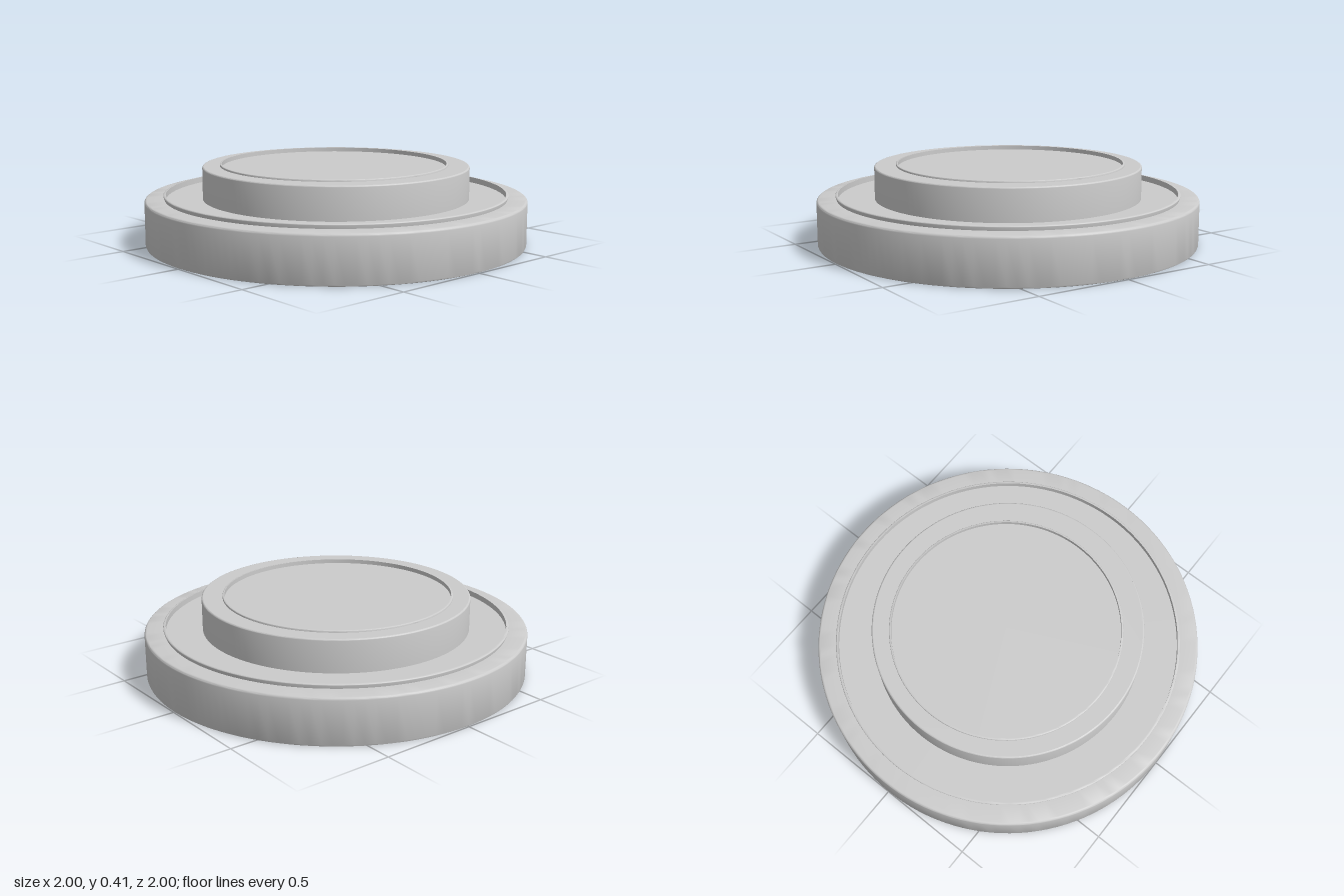
import * as THREE from 'three';
import { toCreasedNormals } from 'three/addons/utils/BufferGeometryUtils.js';

const material = new THREE.MeshStandardMaterial({ color: 0xcccccc, side: THREE.DoubleSide });

// Turned part from [radius, height] pairs, running up the outside
function turned(name, profile, x = 0) {
  const points = profile.map(([r, y]) => new THREE.Vector2(r, y));
  const geometry = toCreasedNormals(new THREE.LatheGeometry(points, 128), 0.6);
  const mesh = new THREE.Mesh(geometry, material);
  mesh.name = name;
  mesh.position.x = x;
  return mesh;
}

// Quarter-round outer top edge
function roundEdge(r, y, radius, steps = 4) {
  return Array.from({ length: steps + 1 }, (_, i) => {
    const a = (i / steps) * Math.PI / 2;
    return [r - radius + radius * Math.cos(a), y - radius + radius * Math.sin(a)];
  });
}

export function createModel() {
  const group = new THREE.Group();
  group.name = 'steppedRoundCap';

  // Wide outer shell, hollow underneath
  group.add(turned('outerShell', [
    [0.99, 0], [0.997, 0.003], [1, 0.01],
    ...roundEdge(1, 0.242, 0.014), [0.895, 0.242],
  ]));

  // Inner sleeve: its top stands proud as a thin lip, its skirt hangs below
  group.add(turned('innerSleeve', [
    [0.89, 0.235], [0.89, 0.04], [0.897, 0.04], [0.897, 0.242],
    ...roundEdge(0.903, 0.265, 0.006), [0.89, 0.265], [0.89, 0.235],
  ]));

  // Flat plate closing the sleeve
  group.add(turned('plate', [[0.89, 0.235], [0, 0.235]]));

  // Raised drum with a shallow, slightly offset recess
  const shift = -0.015;
  group.add(turned('drumWall', [[0.7, 0.235], ...roundEdge(0.7, 0.405, 0.008)]));
  const rim = new THREE.Shape().absarc(0, 0, 0.692, 0, Math.PI * 2);
  rim.holes.push(new THREE.Path().absarc(shift, 0, 0.598, 0, Math.PI * 2, true));
  const drumTop = new THREE.Mesh(new THREE.ShapeGeometry(rim, 96).rotateX(-Math.PI / 2), material);
  drumTop.name = 'drumTop';
  drumTop.position.y = 0.405;
  group.add(drumTop);
  group.add(turned('recessLip', [
    [0.6, 0.4], ...roundEdge(0.6, 0.415, 0.004), [0.59, 0.415], [0.59, 0.393], [0, 0.393],
  ], shift));

  return group;
}
